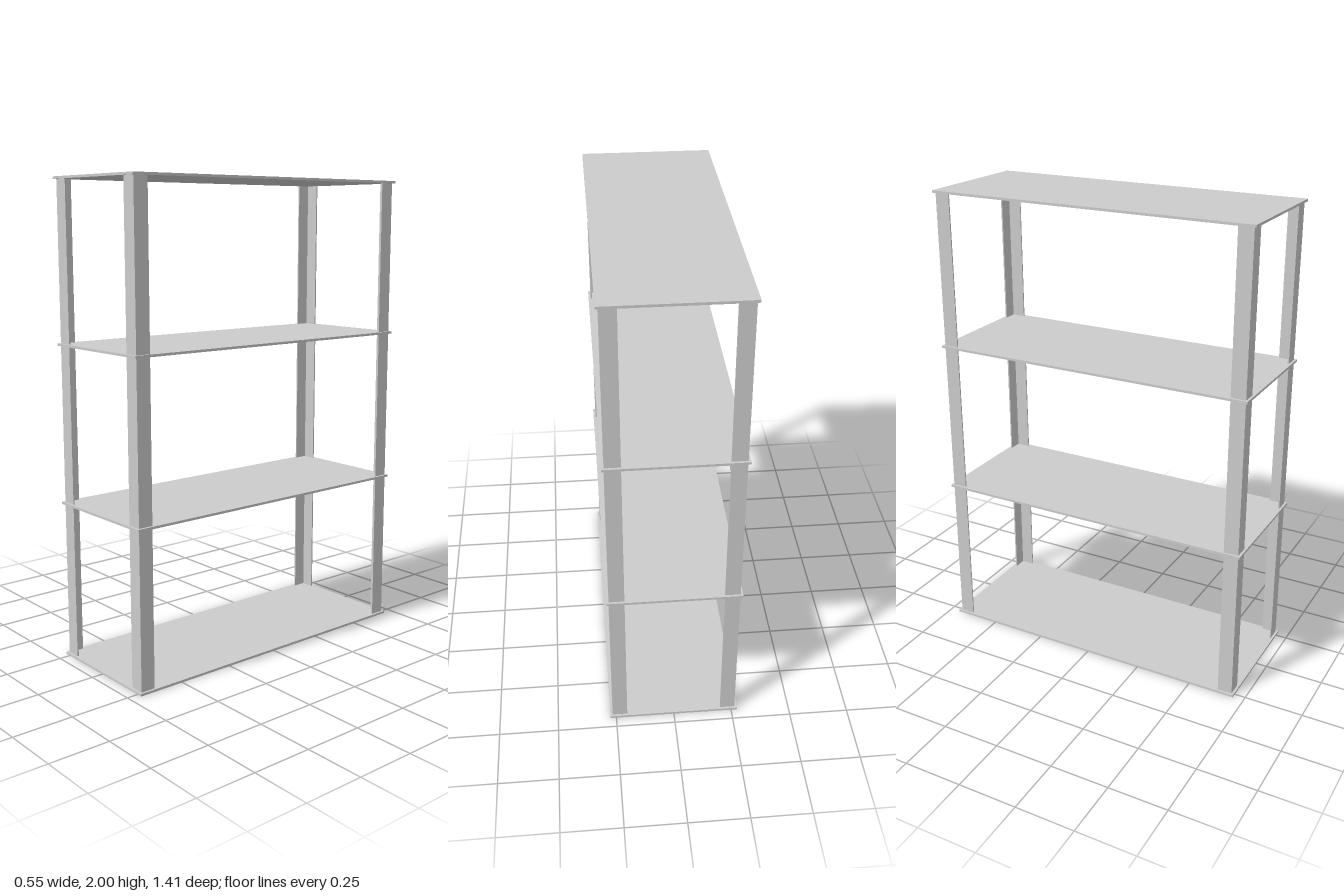
import * as THREE from 'three';

const HEIGHT = 2, WIDTH = 0.55, DEPTH = 1.406;
const SHELF = 0.01;                    // shelf thickness
const FLANGE = 0.063, SHEET = 0.006;   // angle-iron leg width and thickness
const POST_X = 0.265, POST_Z = 0.693;  // outer corner of each post

export function createModel() {
  const group = new THREE.Group();
  const material = new THREE.MeshStandardMaterial({ color: 0xcccccc, flatShading: true });

  // Four evenly spaced shelves
  const shelfGeometry = new THREE.BoxGeometry(WIDTH, SHELF, DEPTH);
  for (let i = 0; i < 4; i++) {
    const shelf = new THREE.Mesh(shelfGeometry, material);
    shelf.name = `shelf${i + 1}`;
    shelf.position.y = SHELF / 2 + (i * (HEIGHT - SHELF)) / 3;
    group.add(shelf);
  }

  // L-section corner posts, open towards the middle, ending inside the outer shelves
  const postHeight = HEIGHT - SHELF;
  for (const sx of [-1, 1]) {
    for (const sz of [-1, 1]) {
      const points = [
        [POST_X, POST_Z],
        [POST_X - FLANGE, POST_Z],
        [POST_X - FLANGE, POST_Z - SHEET],
        [POST_X - SHEET, POST_Z - SHEET],
        [POST_X - SHEET, POST_Z - FLANGE],
        [POST_X, POST_Z - FLANGE],
      ].map(([x, z]) => new THREE.Vector2(sx * x, -sz * z));
      const geometry = new THREE.ExtrudeGeometry(new THREE.Shape(points), {
        depth: postHeight, bevelEnabled: false,
      });
      geometry.rotateX(-Math.PI / 2);
      const post = new THREE.Mesh(geometry, material);
      post.name = `${sz > 0 ? 'front' : 'back'}${sx > 0 ? 'Left' : 'Right'}Post`;
      post.position.y = SHELF / 2;
      group.add(post);
    }
  }
  return group;
}
